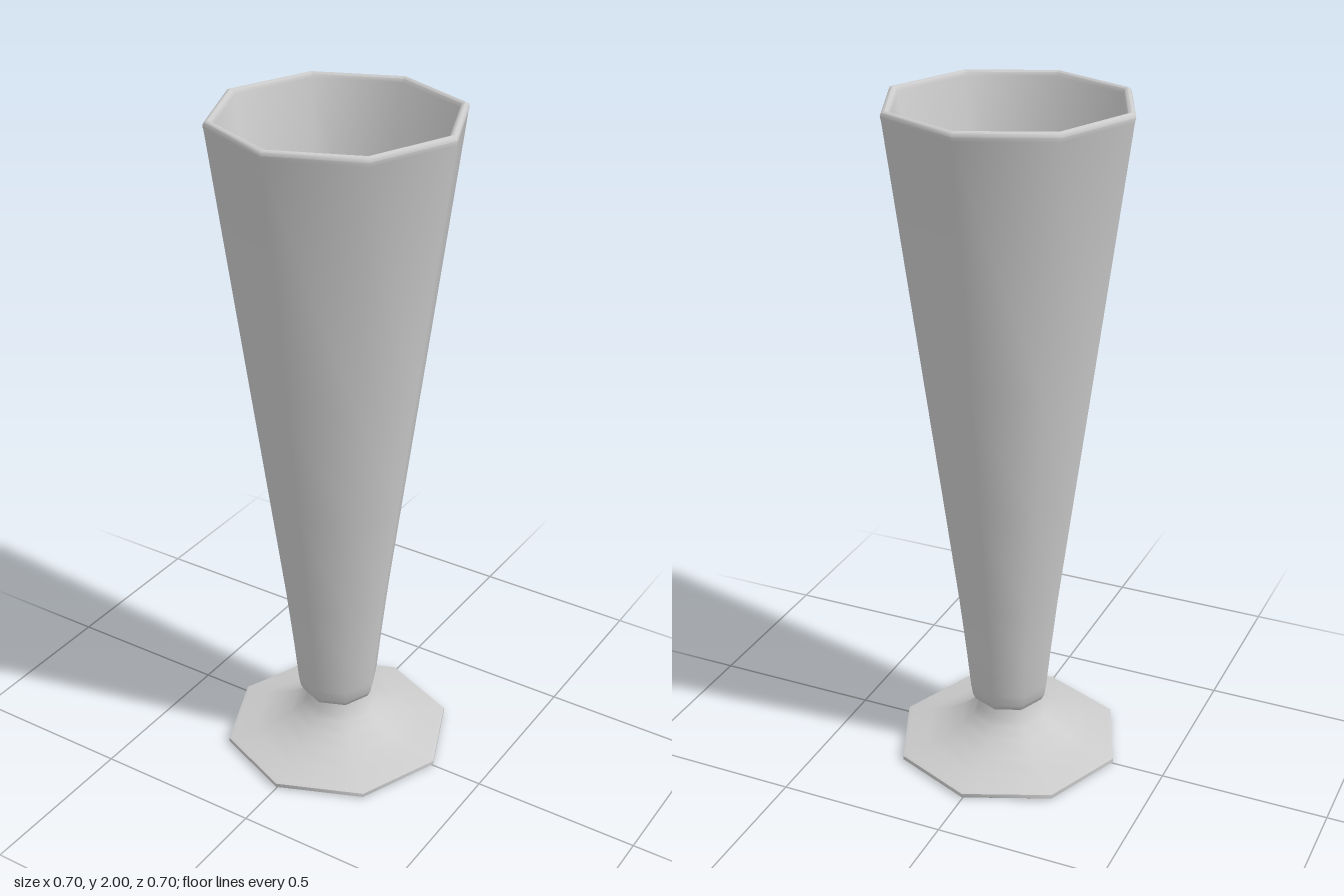
import * as THREE from 'three';
import { toCreasedNormals } from 'three/addons/utils/BufferGeometryUtils.js';

const SIDES = 8;

// Eight-sided turned part, smooth except at its hard edges
function turned(name, profile, material) {
  const points = profile.map(([r, y]) => new THREE.Vector2(r, y));
  const geometry = toCreasedNormals(new THREE.LatheGeometry(points, SIDES), THREE.MathUtils.degToRad(50));
  const mesh = new THREE.Mesh(geometry, material);
  mesh.name = name;
  return mesh;
}

export function createModel() {
  const group = new THREE.Group();
  group.name = 'footedGlass';
  const material = new THREE.MeshStandardMaterial({ color: 0xcccccc });

  // Flat underside, thin edge and a flared top rising to the neck
  group.add(turned('foot', [
    [0, 0.005], [0.335, 0.005], [0.342, 0.01], [0.342, 0.022], [0.33, 0.026],
    [0.26, 0.038], [0.2, 0.06], [0.15, 0.088], [0.118, 0.115],
    [0.1, 0.14], [0.094, 0.165],
  ], material));

  // Outer wall, rounded rim, inner wall and rounded floor
  group.add(turned('bowl', [
    [0.094, 0.163], [0.107, 0.172], [0.116, 0.19], [0.122, 0.225],
    [0.135, 0.35], [0.156, 0.53], [0.2, 0.86], [0.251, 1.24], [0.349, 1.975],
    [0.352, 1.987], [0.348, 1.996], [0.339, 2], [0.33, 1.996], [0.325, 1.985],
    [0.227, 1.24], [0.177, 0.86], [0.133, 0.53], [0.112, 0.35],
    [0.098, 0.24], [0.085, 0.215], [0.05, 0.203], [0, 0.2],
  ], material));

  return group;
}
